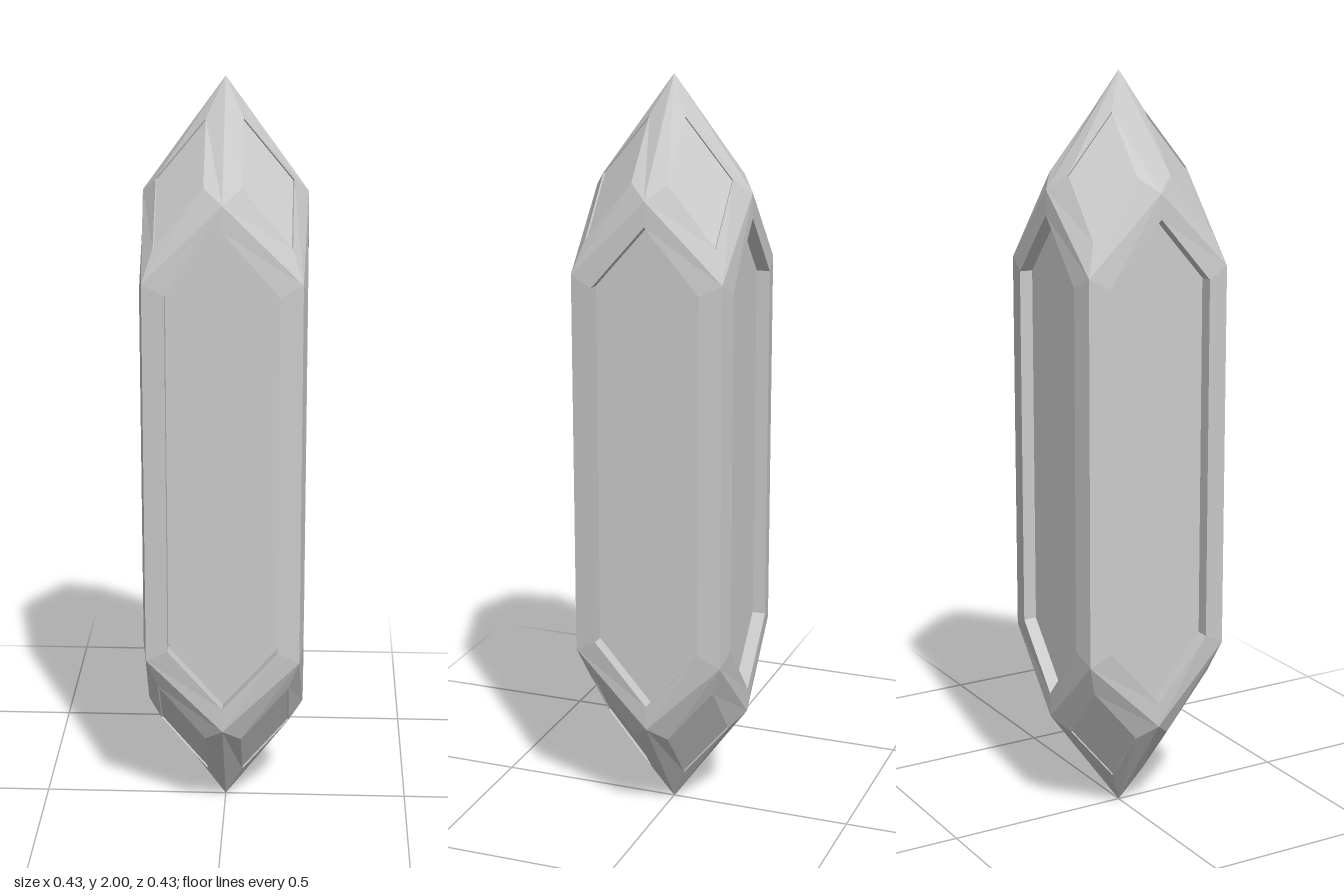
import * as THREE from 'three';

const stone = new THREE.MeshStandardMaterial({ color: 0xcccccc, flatShading: true });

// A facet: bevelled border from outline to rim, wall from rim down to a sunken panel.
// Corners run counter-clockwise seen from outside.
function facet(outline, rim, sink) {
  const floor = rim.map(([x, y, z]) => [x + sink[0], y + sink[1], z + sink[2]]);
  const n = outline.length;
  const pos = [];
  const tri = (...pts) => pts.forEach((p) => pos.push(...p));
  const band = (a, b) => {
    for (let i = 0; i < n; i++) {
      const j = (i + 1) % n;
      tri(a[i], a[j], b[j]);
      tri(a[i], b[j], b[i]);
    }
  };
  band(outline, rim);
  band(rim, floor);
  for (let i = 1; i < n - 1; i++) tri(floor[0], floor[i], floor[i + 1]);
  const geo = new THREE.BufferGeometry();
  geo.setAttribute('position', new THREE.Float32BufferAttribute(pos, 3));
  geo.computeVertexNormals();
  return geo;
}

// Elongated hexagon facing +z, symmetric about y = 1 (heights measured from there)
const hexagon = (w, tip, shoulder, zMid, zSide) => [
  [0, tip, zMid], [-w, shoulder, zSide], [-w, -shoulder, zSide],
  [0, -tip, zMid], [w, -shoulder, zSide], [w, shoulder, zSide],
];

export function createModel() {
  const model = new THREE.Group();
  model.name = 'crystal';
  const body = new THREE.Group();
  body.position.y = 1;
  model.add(body);

  const sideGeo = facet(
    hexagon(0.203, 0.71, 0.51, 0.212, 0.203),
    hexagon(0.145, 0.645, 0.48, 0.213, 0.213),
    [0, 0, -0.036],
  );

  // Rhombic tip facet, its rim lying on a slightly raised plane
  const rimPoint = (x, z) => [x, 1.015 - 1.2 * (x + z), z];
  const tipGeo = facet(
    [[0, 1, 0], [0, 0.71, 0.212], [0.203, 0.51, 0.203], [0.212, 0.71, 0]],
    [rimPoint(0.048, 0.048), rimPoint(0.048, 0.175), rimPoint(0.175, 0.175), rimPoint(0.175, 0.048)],
    [-0.003, -0.0025, -0.003],
  );

  // Four sides
  for (let i = 0; i < 4; i++) {
    const side = new THREE.Mesh(sideGeo, stone);
    side.name = 'sideFacet';
    side.rotation.y = (i * Math.PI) / 2;
    body.add(side);
  }

  // Upper tip, and the lower tip turned upside down
  for (const name of ['upperTip', 'lowerTip']) {
    const tip = new THREE.Group();
    tip.name = name;
    if (name === 'lowerTip') tip.rotation.x = Math.PI;
    for (let i = 0; i < 4; i++) {
      const face = new THREE.Mesh(tipGeo, stone);
      face.name = 'tipFacet';
      face.rotation.y = (i * Math.PI) / 2;
      tip.add(face);
    }
    body.add(tip);
  }
  return model;
}
